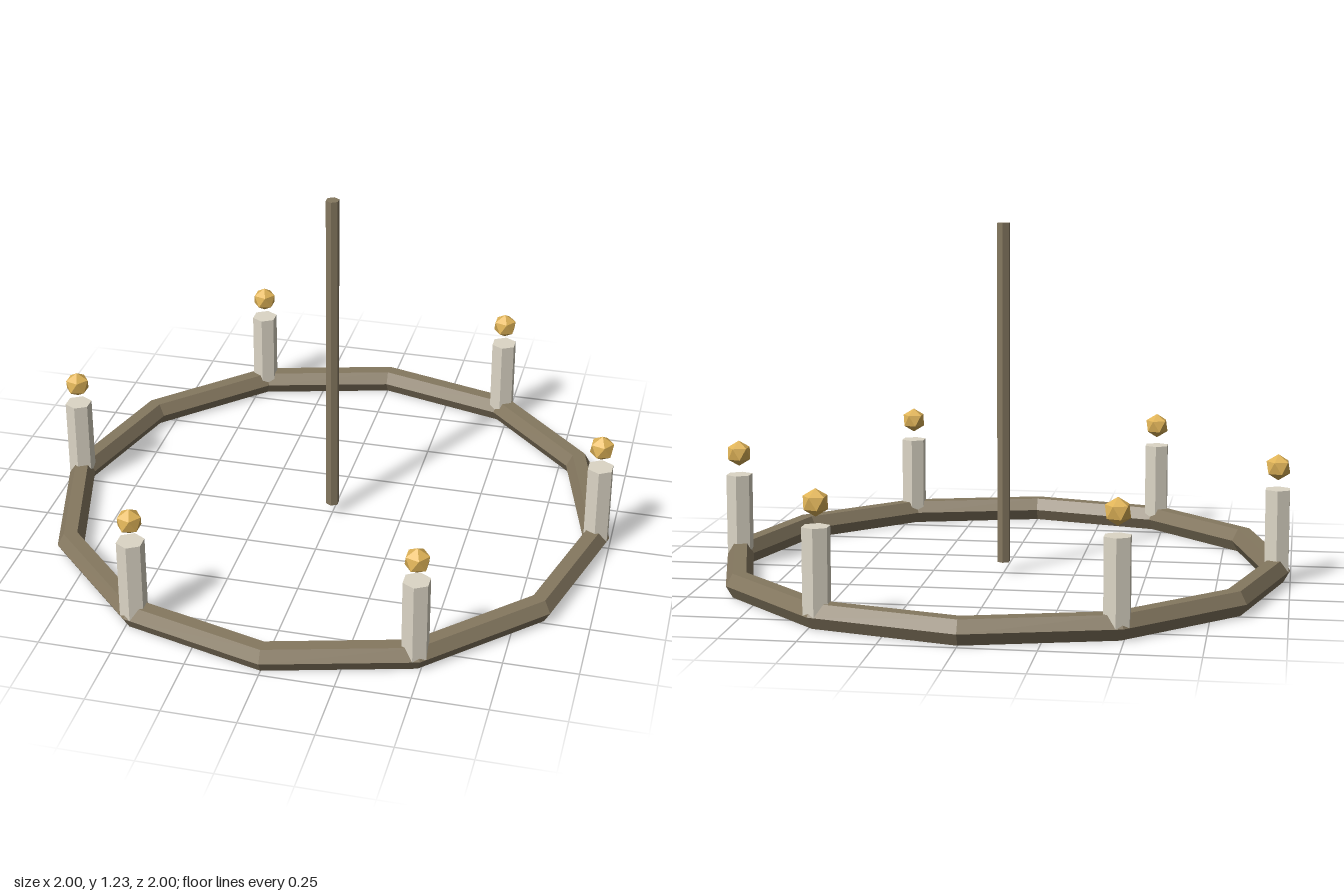
import * as THREE from 'three';

const RING = 0.952;   // ring radius
const TUBE = 0.0476;  // ring and candle thickness
const MID = 0.041;    // height of the ring's centre line

function material(color) {
  return new THREE.MeshStandardMaterial({ color, flatShading: true });
}

function part(name, geometry, mat, x, y, z) {
  const mesh = new THREE.Mesh(geometry, mat);
  mesh.name = name;
  mesh.position.set(x, y, z);
  return mesh;
}

export function createModel() {
  const model = new THREE.Group();
  model.name = 'candleChandelier';
  const wood = material(0x857860);
  const wax = material(0xdcd6c6);
  const fire = material(0xe0b458);

  // Twelve-sided ring with a hexagonal section, lying flat
  const ringGeometry = new THREE.TorusGeometry(RING, TUBE, 6, 12).rotateX(Math.PI / 2);
  model.add(part('ring', ringGeometry, wood, 0, MID, 0));

  // Central hanging rod
  const rodHeight = 1.19;
  const rodGeometry = new THREE.CylinderGeometry(0.0238, 0.0238, rodHeight, 6);
  model.add(part('hangingRod', rodGeometry, wood, 0, MID + rodHeight / 2, 0));

  // Six candles, each with a floating flame whose icosahedron points straight up
  const candleHeight = 0.286;
  const candleGeometry = new THREE.CylinderGeometry(TUBE, TUBE, candleHeight, 6);
  const poleTilt = Math.atan(2 / (1 + Math.sqrt(5)));
  const flameGeometry = new THREE.IcosahedronGeometry(0.0455, 0).rotateZ(-poleTilt);
  for (let i = 0; i < 6; i++) {
    const angle = (i * Math.PI) / 3;
    const x = RING * Math.cos(angle);
    const z = RING * Math.sin(angle);
    model.add(part('candle', candleGeometry, wax, x, MID + candleHeight / 2, z));
    model.add(part('flame', flameGeometry, fire, x, 0.403, z));
  }
  return model;
}
